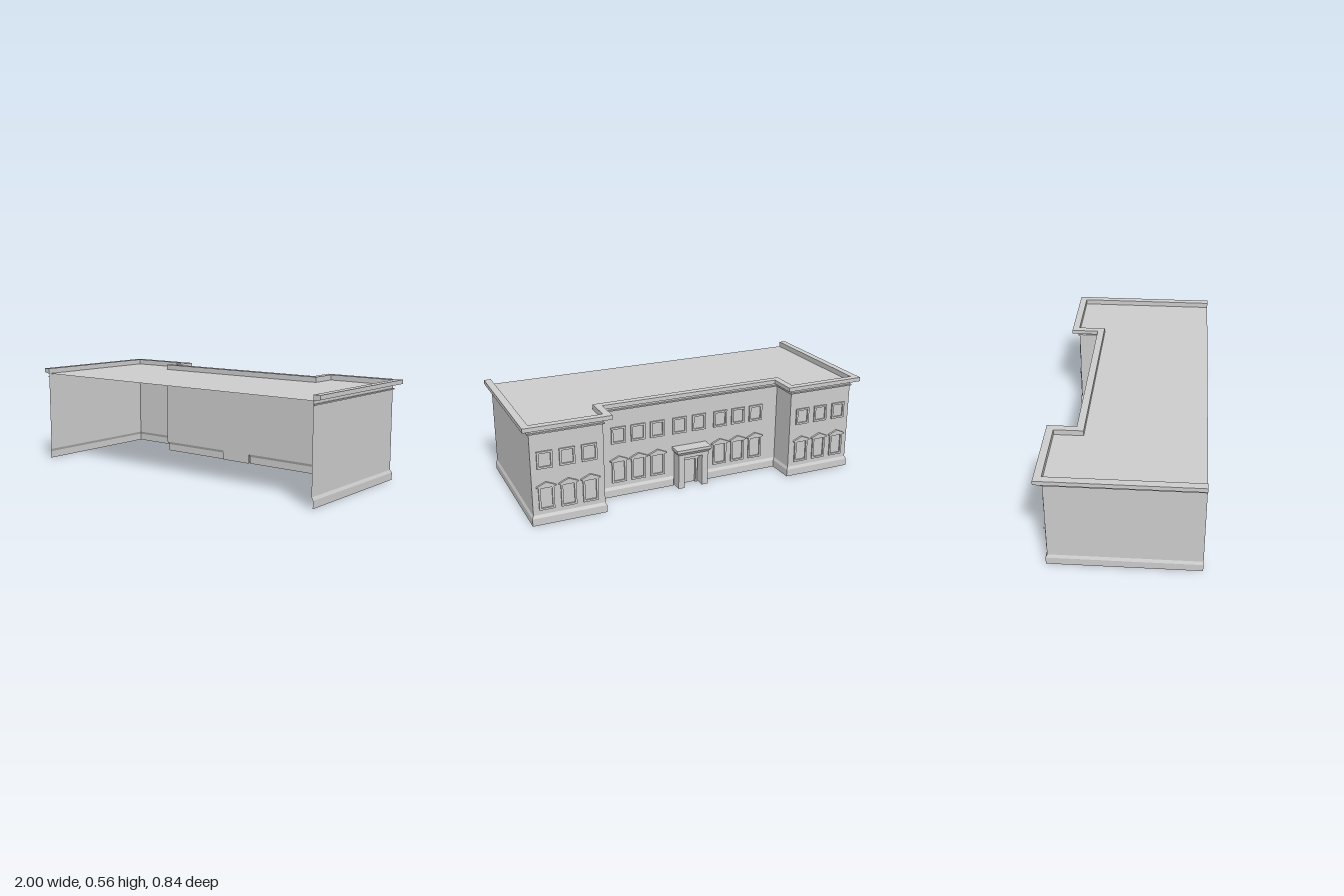
import * as THREE from 'three';

const material = new THREE.MeshStandardMaterial({ color: 0xcccccc, flatShading: true, side: THREE.DoubleSide });
const WING_Z = -0.38, CENTRE_Z = -0.222;

// Wall line in plan: x, z, then the outward mitre direction.
const halfPath = [
  [0.96, 0.42, 1, 0], [0.96, WING_Z, 1, -1],
  [0.565, WING_Z, -1, -1], [0.565, CENTRE_Z, -1, -1],
];
const mirrorPath = (path) => path.map(([x, z, dx, dz]) => [-x, z, -dx, dz]).reverse();
const fullPath = [...halfPath, ...mirrorPath(halfPath)];

function add(parent, name, geometry, x = 0, y = 0, z = 0) {
  const mesh = new THREE.Mesh(geometry, material);
  mesh.name = name;
  mesh.position.set(x, y, z);
  parent.add(mesh);
  return mesh;
}

// Sweeps a profile of [outward offset, height] points along a wall line.
function sweep(path, profile, capped = false) {
  const pos = [];
  const at = (p, [o, y]) => [p[0] + p[2] * o, y, p[1] + p[3] * o];
  for (let i = 0; i < path.length - 1; i++) {
    for (let j = 0; j < profile.length - 1; j++) {
      const a = at(path[i], profile[j]), b = at(path[i + 1], profile[j]);
      const c = at(path[i + 1], profile[j + 1]), d = at(path[i], profile[j + 1]);
      pos.push(...a, ...b, ...c, ...a, ...c, ...d);
    }
  }
  if (capped) {
    const first = path[0], last = path[path.length - 1];
    for (let j = 1; j < profile.length - 2; j++) {
      pos.push(...at(first, profile[0]), ...at(first, profile[j]), ...at(first, profile[j + 1]));
      pos.push(...at(last, profile[0]), ...at(last, profile[j + 1]), ...at(last, profile[j]));
    }
  }
  const geometry = new THREE.BufferGeometry();
  geometry.setAttribute('position', new THREE.Float32BufferAttribute(pos, 3));
  geometry.computeVertexNormals();
  return geometry;
}

const polygon = (points) => new THREE.Shape(points.map(([x, y]) => new THREE.Vector2(x, y)));
const rect = (w, y0, y1) => [[-w / 2, y0], [w / 2, y0], [w / 2, y1], [-w / 2, y1]];
const extrude = (shape, depth) => new THREE.ExtrudeGeometry(shape, { depth, bevelEnabled: false });

// Rectangular frame with an opening, standing out from the wall.
function frame(w, y0, y1, border, depth) {
  const shape = polygon(rect(w, y0, y1));
  shape.holes.push(polygon(rect(w - border * 2, y0 + border, y1 - border)));
  return extrude(shape, depth);
}

const upperFrame = frame(0.084, 0.315, 0.41, 0.011, 0.008);
const lowerFrame = frame(0.084, 0.083, 0.217, 0.011, 0.008);
const pediment = extrude(polygon([[-0.053, 0.211], [0.053, 0.211], [0.053, 0.217], [0, 0.24], [-0.053, 0.217]]), 0.012);

function addWindow(parent, x, wallZ, lower) {
  const group = new THREE.Group();
  group.name = lower ? 'lowerWindow' : 'upperWindow';
  group.position.set(x, 0, wallZ);
  add(group, 'windowFrame', lower ? lowerFrame : upperFrame, 0, 0, -0.008);
  if (lower) add(group, 'windowPediment', pediment, 0, 0, -0.012);
  parent.add(group);
}

function createEntrance() {
  const entrance = new THREE.Group();
  entrance.name = 'entrance';
  const box = (name, w, y0, y1, z0, z1, x = 0) =>
    add(entrance, name, new THREE.BoxGeometry(w, y1 - y0, z1 - z0), x, (y0 + y1) / 2, (z0 + z1) / 2);

  // Wall panel filling the gap in the plinth
  add(entrance, 'doorWall', new THREE.PlaneGeometry(0.2, 0.057), 0, 0.0285, CENTRE_Z);
  // Canopy: slab, sloped moulding and beam
  box('canopySlab', 0.21, 0.222, 0.238, -0.3, CENTRE_Z);
  const moulding = [[0, 0.195], [0, 0.205], [0.012, 0.222]];
  const line = [[0.093, CENTRE_Z, 1, 0], [0.093, -0.288, 1, -1], [-0.093, -0.288, -1, -1], [-0.093, CENTRE_Z, -1, 0]];
  add(entrance, 'canopyMoulding', sweep(line, moulding));
  box('canopyBeam', 0.184, 0.185, 0.21, -0.287, CENTRE_Z);
  // Piers either side of the door
  for (const s of [-1, 1]) {
    box('pier', 0.036, 0, 0.185, -0.285, CENTRE_Z, s * 0.073);
    box('doorJamb', 0.012, 0, 0.15, -0.236, CENTRE_Z, s * 0.042);
  }
  box('doorLintel', 0.11, 0.15, 0.163, -0.24, CENTRE_Z);
  return entrance;
}

export function createModel() {
  const building = new THREE.Group();
  building.name = 'building';

  // Walls, plinth broken at the door, string course and parapet
  add(building, 'walls', sweep(fullPath, [[0, 0.057], [0, 0.53]]));
  const plinthPath = [...halfPath, [0.1, CENTRE_Z, 0, -1]];
  for (const path of [plinthPath, mirrorPath(plinthPath)]) {
    add(building, 'plinth', sweep(path, [[0.008, 0], [0.008, 0.041], [0, 0.057]]));
  }
  add(building, 'stringCourse', sweep(fullPath, [[0, 0.507], [0.008, 0.507], [0.008, 0.514], [0, 0.514]]));
  add(building, 'parapetCornice',
    sweep(fullPath, [[0, 0.53], [0.005, 0.53], [0.04, 0.537], [0.04, 0.56], [0, 0.56], [0, 0.53]], true));

  // Flat roof inside the parapet
  const roof = new THREE.ShapeGeometry(polygon(fullPath.map(([x, z]) => [x, -z])));
  roof.rotateX(-Math.PI / 2);
  add(building, 'roof', roof, 0, 0.53, 0);

  // Windows on both wings and the recessed centre
  for (const s of [-1, 1]) {
    for (const lower of [false, true]) {
      for (const x of [0.645, 0.765, 0.885]) addWindow(building, s * x, WING_Z, lower);
      for (const x of [0.195, 0.31, 0.425]) addWindow(building, s * x, CENTRE_Z, lower);
    }
    addWindow(building, s * 0.06, CENTRE_Z, false);
  }

  building.add(createEntrance());
  return building;
}
